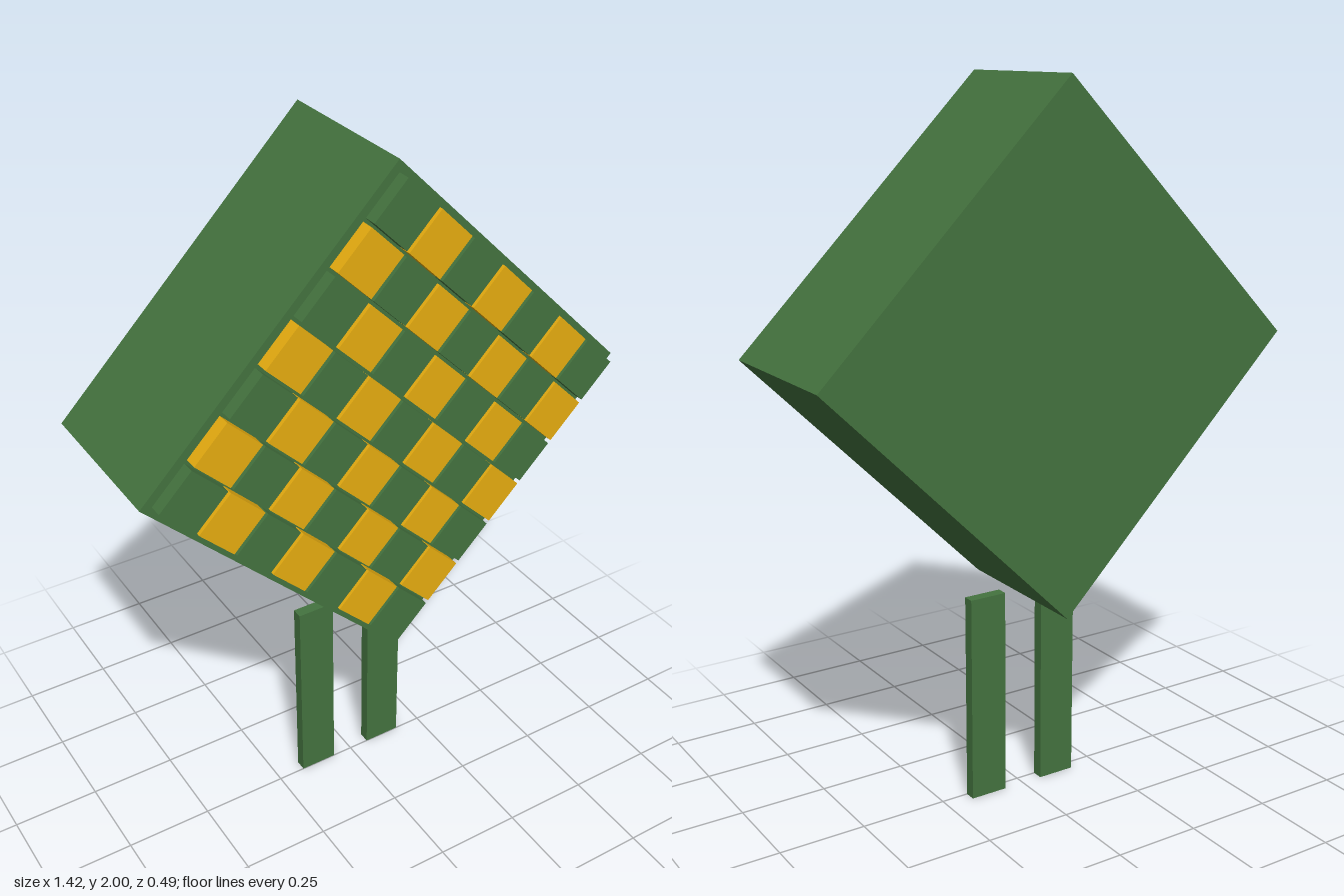
import * as THREE from 'three';

export function createModel() {
  const green = new THREE.MeshStandardMaterial({ name: 'leafGreen', color: 0x44733f });
  const gold = new THREE.MeshStandardMaterial({ name: 'gold', color: 0xe6ac10 });
  const model = new THREE.Group();
  model.name = 'checkeredDiamond';

  const addBox = (parent, name, material, size, position) => {
    const mesh = new THREE.Mesh(new THREE.BoxGeometry(...size), material);
    mesh.name = name;
    mesh.position.set(...position);
    parent.add(mesh);
  };

  // Square block standing on one corner
  const head = new THREE.Group();
  head.name = 'diamondHead';
  head.position.y = 1.291;
  head.rotation.z = Math.PI / 4;
  model.add(head);
  addBox(head, 'body', green, [1.002, 1.002, 0.457], [0, 0, -0.0185]);

  // Seven by seven raised checker tiles on the front
  const pitch = 0.138, tile = 0.128;
  for (let i = -3; i <= 3; i++) {
    for (let j = -3; j <= 3; j++) {
      const even = (i + j) % 2 === 0;
      addBox(head, even ? 'greenTile' : 'goldTile', even ? green : gold,
        [tile, tile, 0.037], [i * pitch, j * pitch, 0.2285]);
    }
  }

  // Two thin flat legs
  for (const side of [-1, 1]) {
    addBox(model, side > 0 ? 'leftLeg' : 'rightLeg', green,
      [0.11, 0.6, 0.032], [side * 0.115, 0.3, -0.016]);
  }
  return model;
}
